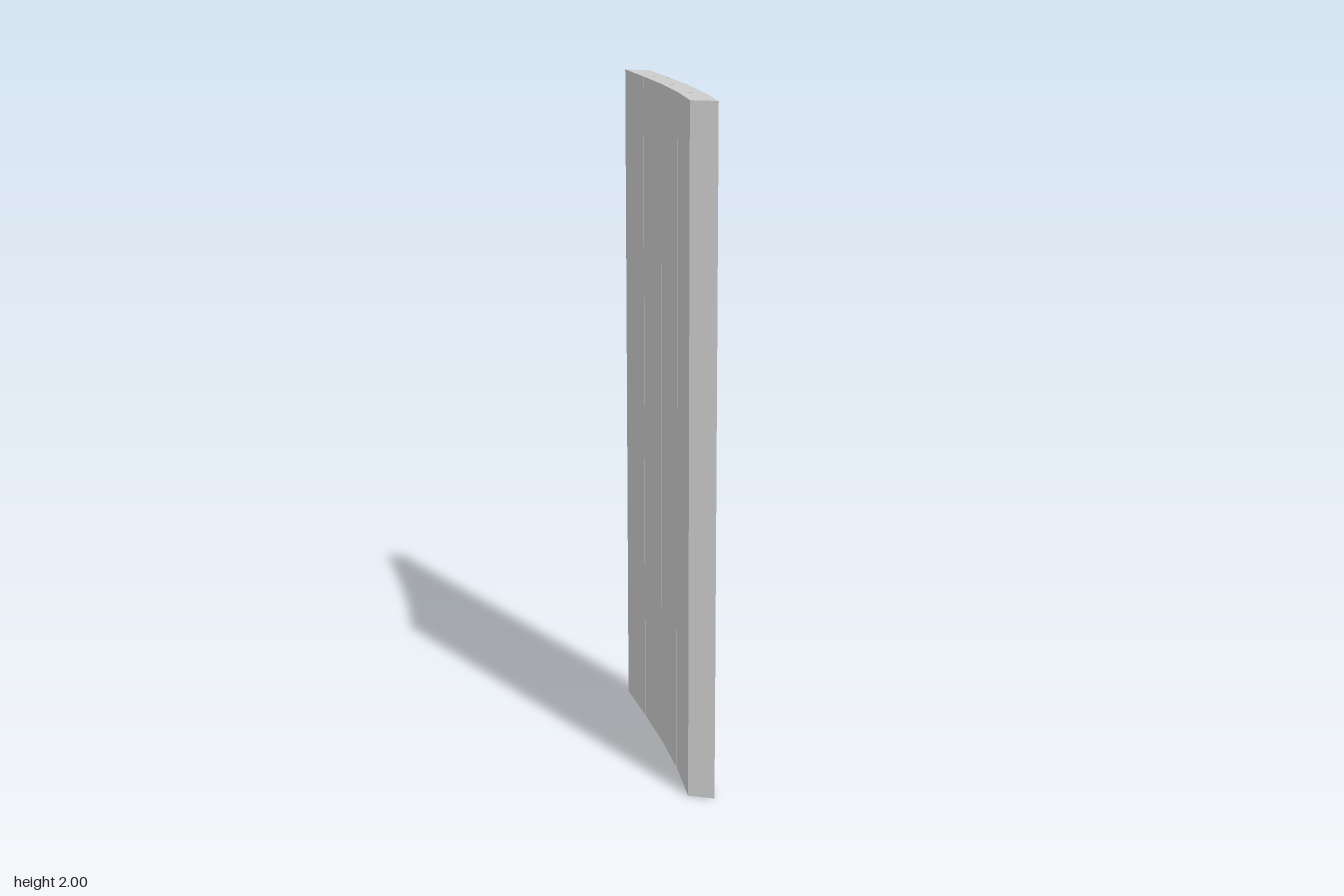
import * as THREE from 'three';

const HEIGHT = 2;
const GAP = 0.004; // slit between neighbouring planks

// Plan outline as [x, z] joints, from back to front
const innerEdge = [[-0.19, -0.383], [-0.105, -0.196], [-0.023, -0.005], [0.05, 0.185], [0.11, 0.372]];
const outerEdge = [[-0.113, -0.37], [-0.028, -0.184], [0.053, 0.005], [0.126, 0.193], [0.188, 0.38]];

// One edge of a plank, trimmed by half a gap at the joints it shares
function trimmedEdge(edge, i) {
  const a = new THREE.Vector2(...edge[i]);
  const b = new THREE.Vector2(...edge[i + 1]);
  const step = b.clone().sub(a).setLength(GAP / 2);
  if (i > 0) a.add(step);
  if (i < edge.length - 2) b.sub(step);
  return [a, b];
}

export function createModel() {
  const model = new THREE.Group();
  model.name = 'curvedPanel';
  const grey = new THREE.MeshStandardMaterial({ color: 0xcccccc });
  grey.name = 'light grey';

  // Four upright planks following a shallow curve
  for (let i = 0; i < innerEdge.length - 1; i++) {
    const [a, b] = trimmedEdge(innerEdge, i);
    const [d, c] = trimmedEdge(outerEdge, i);
    const shape = new THREE.Shape([a, b, c, d].map((p) => new THREE.Vector2(p.x, -p.y)));
    const geometry = new THREE.ExtrudeGeometry(shape, { depth: HEIGHT, bevelEnabled: false });
    geometry.rotateX(-Math.PI / 2);
    const plank = new THREE.Mesh(geometry, grey);
    plank.name = `plank${i + 1}`;
    model.add(plank);
  }
  return model;
}
